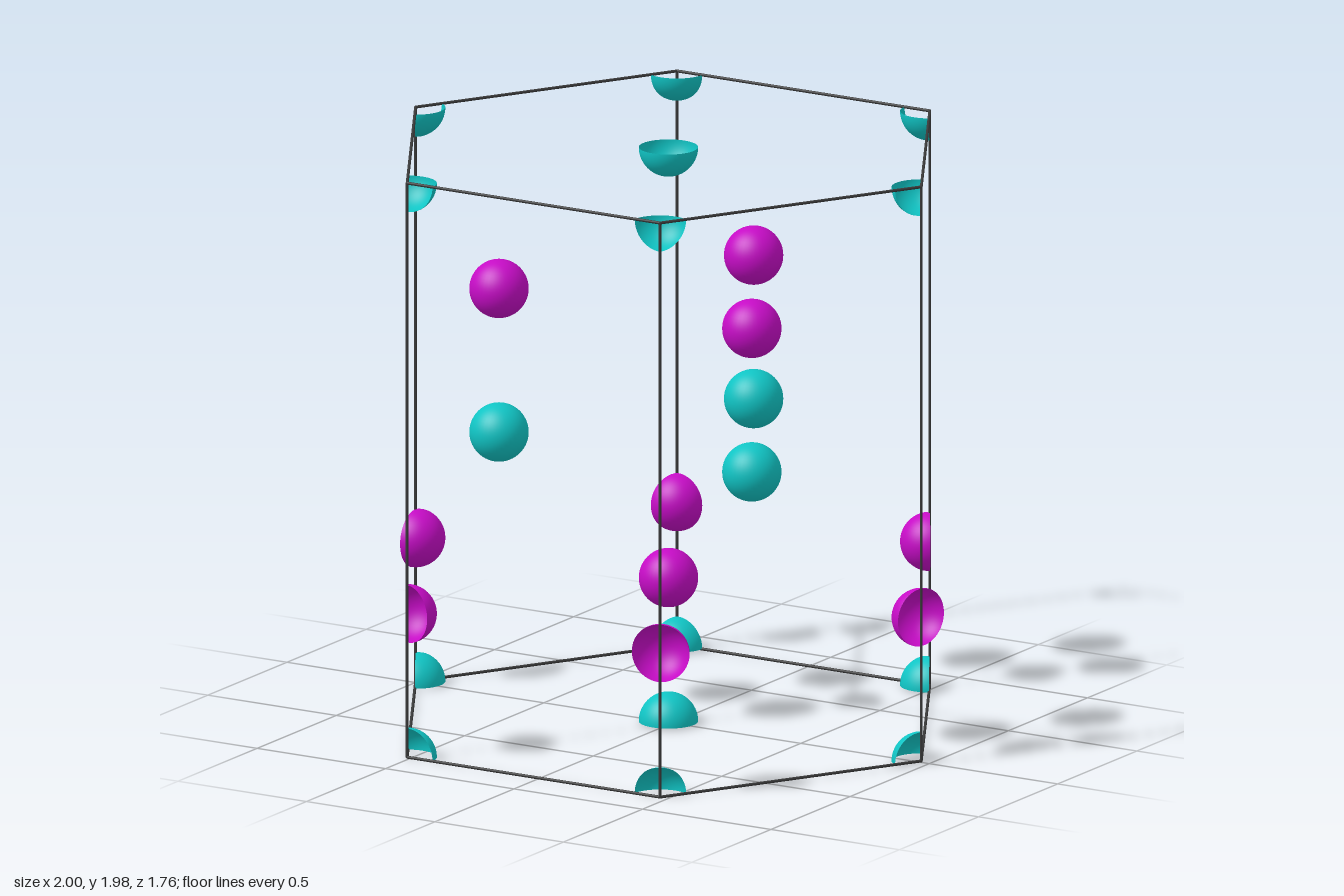
import * as THREE from 'three';

const material = (name, color, side = THREE.FrontSide) => {
  const m = new THREE.MeshStandardMaterial({ color, side });
  m.name = name;
  return m;
};

export function createModel() {
  const model = new THREE.Group();
  model.name = 'hexagonalCell';
  const teal = material('teal', 0x10c4c4, THREE.DoubleSide);
  const magenta = material('magenta', 0xc60cc6, THREE.DoubleSide);
  const frame = material('charcoal', 0x3a3a3a);

  const CX = -0.015, R = 0.984, BOTTOM = 0.007, TOP = 1.975, BALL = 0.0985, ROD = 0.005;
  const level = (t) => BOTTOM + (TOP - BOTTOM) * t;
  const rad = THREE.MathUtils.degToRad;
  const corner = (i, y) =>
    new THREE.Vector3(CX + R * Math.cos(rad(60 * i)), y, -R * Math.sin(rad(60 * i)));

  // Ball or open shell; from/to are degrees, counterclockwise from above, from +x
  function ball(name, mat, pos, from = 0, to = 360, theta = 0, thetaLength = Math.PI) {
    const geo = new THREE.SphereGeometry(BALL, 40, 28,
      rad(from) + Math.PI, rad(to - from), theta, thetaLength);
    const mesh = new THREE.Mesh(geo, mat);
    mesh.name = name;
    mesh.position.copy(pos);
    model.add(mesh);
  }

  // Thin frame rod between two points
  function rod(name, a, b) {
    const dir = b.clone().sub(a);
    const mesh = new THREE.Mesh(new THREE.CylinderGeometry(ROD, ROD, dir.length(), 10), frame);
    mesh.name = name;
    mesh.position.copy(a).add(b).multiplyScalar(0.5);
    mesh.quaternion.setFromUnitVectors(new THREE.Vector3(0, 1, 0), dir.normalize());
    model.add(mesh);
  }

  // Span of the open shell at each upright
  const spans = [[72, 250], [161, 303], [240, 360], [270, 420], [344, 484], [25, 193]];
  const half = Math.PI / 2;

  for (let i = 0; i < 6; i++) {
    // Hexagonal frame
    rod('bottomEdge', corner(i, BOTTOM), corner(i + 1, BOTTOM));
    rod('topEdge', corner(i, TOP), corner(i + 1, TOP));
    rod('upright', corner(i, BOTTOM), corner(i, TOP));
    // Corner shells, cut to the inside of the cell
    const from = 60 * i + 120, to = 60 * i + 240;
    ball('bottomCornerShell', teal, corner(i, BOTTOM), from, to, 0, half);
    ball('topCornerShell', teal, corner(i, TOP), from, to, half, half);
    // Shells on the uprights
    ball('uprightShell', magenta, corner(i, level(0.25)), ...spans[i]);
  }

  // Central axis
  const axis = (y) => new THREE.Vector3(CX, y, 0);
  ball('bottomCentreShell', teal, axis(BOTTOM), 0, 360, 0, half);
  ball('topCentreShell', teal, axis(TOP), 0, 360, half, half);
  ball('centreBall', magenta, axis(level(0.25)));

  // Three inner columns of whole balls
  for (const [x, z] of [[-0.492, 0.272], [0.492, 0.272], [0, -0.538]]) {
    ball('middleBall', teal, new THREE.Vector3(CX + x, level(0.5), z));
    ball('upperBall', magenta, new THREE.Vector3(CX + x, level(0.75), z));
  }
  return model;
}
